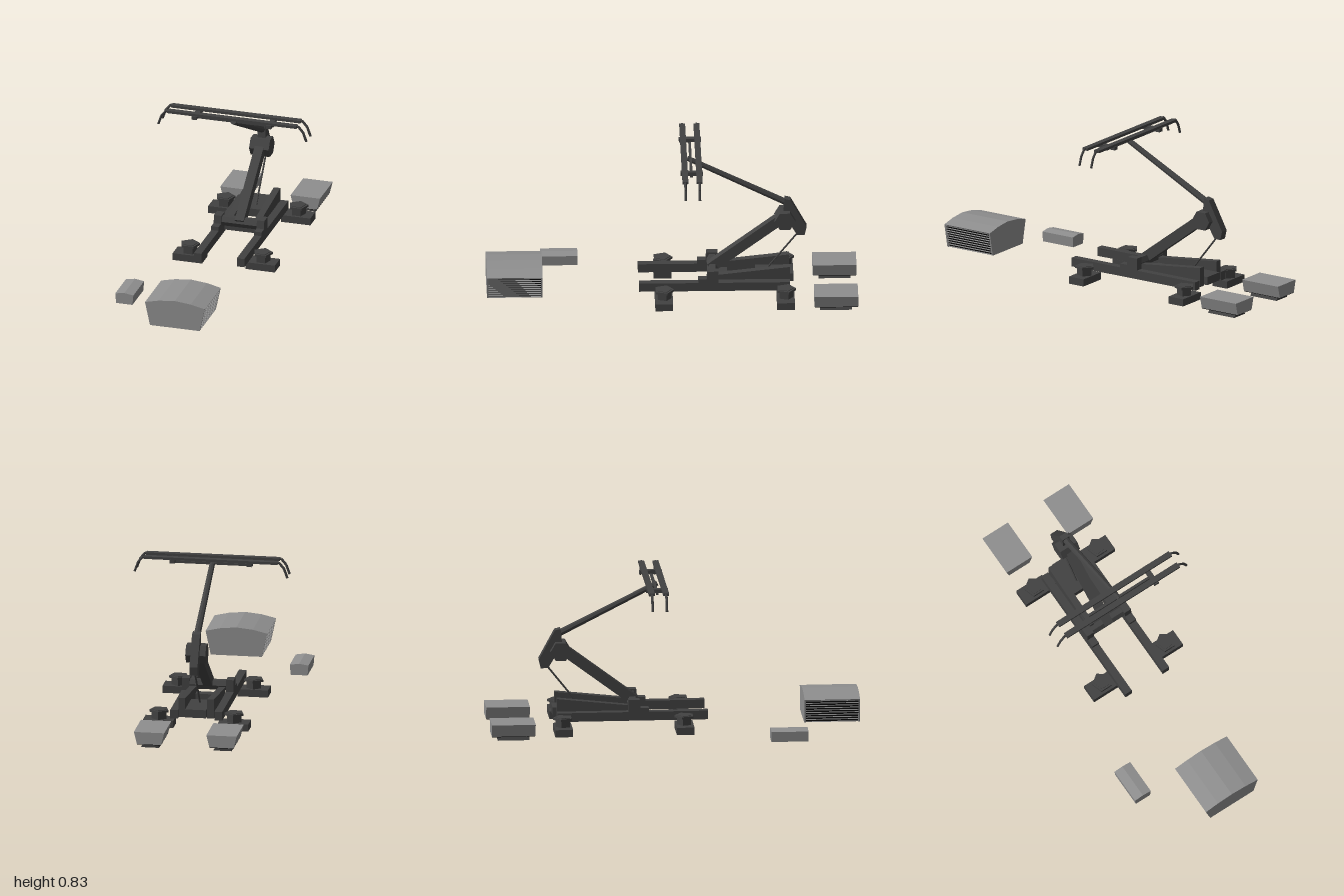
import * as THREE from 'three';

const mat = (name, color, side = THREE.FrontSide) => {
  const m = new THREE.MeshStandardMaterial({ color, side, flatShading: true });
  m.name = name;
  return m;
};

export function createModel() {
  const root = new THREE.Group();
  const dark = mat('dark grey metal', 0x424242);
  const light = mat('light grey housing', 0x8f8f8f);
  const black = mat('black vent', 0x0c0c0c, THREE.DoubleSide);

  const add = (name, geo, m, parent = root) => {
    const mesh = new THREE.Mesh(geo, m);
    mesh.name = name;
    parent.add(mesh);
    return mesh;
  };
  const group = (name, x = 0, y = 0, z = 0) => {
    const g = new THREE.Group();
    g.name = name;
    g.position.set(x, y, z);
    root.add(g);
    return g;
  };
  // box given by its lower and upper limits
  const box = (name, x0, x1, y0, y1, z0, z1, m = dark, parent = root) => {
    const b = add(name, new THREE.BoxGeometry(x1 - x0, y1 - y0, z1 - z0), m, parent);
    b.position.set((x0 + x1) / 2, (y0 + y1) / 2, (z0 + z1) / 2);
    return b;
  };
  const shapeOf = (pts) => new THREE.Shape(pts.map((p) => new THREE.Vector2(...p)));
  // front outline (x, y) extruded from z0 to z1
  const frontPrism = (pts, z0, z1) =>
    new THREE.ExtrudeGeometry(shapeOf(pts), { depth: z1 - z0, bevelEnabled: false }).translate(0, 0, z0);
  // side outline (z, y) extruded from x0 to x1
  const sidePrism = (pts, x0, x1) =>
    new THREE.ExtrudeGeometry(shapeOf(pts), { depth: x1 - x0, bevelEnabled: false })
      .rotateY(-Math.PI / 2).translate(x1, 0, 0);
  // straight bar between two points
  const rod = (name, a, b, r0, r1, sides, parent = root) => {
    const A = new THREE.Vector3(...a), B = new THREE.Vector3(...b);
    const d = B.clone().sub(A);
    const m = add(name, new THREE.CylinderGeometry(r1, r0, d.length(), sides), dark, parent);
    m.position.copy(A).add(B).multiplyScalar(0.5);
    m.quaternion.setFromUnitVectors(new THREE.Vector3(0, 1, 0), d.normalize());
    return m;
  };

  // Base frame: rails, rising inner beams and shaft brackets
  const frame = group('baseFrame');
  for (const s of [-1, 1]) {
    const span = (a, b) => (s > 0 ? [a, b] : [-b, -a]);
    box('rail', ...span(0.1, 0.142), 0.07, 0.118, -0.635, 0.18, dark, frame);
    add('innerBeam', sidePrism([[-0.635, 0.08], [-0.25, 0.08], [-0.25, 0.145], [-0.635, 0.187]],
      ...span(0.06, 0.097)), dark, frame);
    add('shaftBracket', sidePrism([[-0.25, 0.115], [-0.14, 0.115], [-0.14, 0.14], [-0.185, 0.14],
      [-0.19, 0.185], [-0.25, 0.185]], ...span(0.1, 0.142)), dark, frame);

    // Insulated feet
    for (const z of [0.047, -0.61]) {
      const foot = group('foot', s * 0.205, 0, z);
      box('footBase', -0.083, 0.083, 0.022, 0.062, -0.048, 0.048, dark, foot);
      const parts = [['insulator', 0.042, 0.06, 0.115], ['insulatorCollar', 0.055, 0.1, 0.112]];
      for (const [name, r, y0, y1] of parts) {
        const c = add(name, new THREE.CylinderGeometry(r, r, y1 - y0, 5), dark, foot);
        c.position.y = (y0 + y1) / 2;
        c.rotation.y = Math.PI;
      }
    }
  }
  box('rearTray', -0.057, 0.057, 0.085, 0.13, -0.655, -0.45, dark, frame);
  box('rearCrossMember', -0.1, 0.1, 0.08, 0.115, -0.6, -0.56, dark, frame);
  box('frontCrossMember', -0.1, 0.1, 0.08, 0.115, -0.3, -0.25, dark, frame);
  rod('pivotShaft', [-0.12, 0.15, -0.22], [0.12, 0.15, -0.22], 0.03, 0.03, 6, frame);

  // Folding arm
  const arm = group('foldingArm');
  const lower = box('lowerArm', -0.025, 0.025, -0.028, 0.028, -0.255, 0.255, dark, arm);
  lower.position.set(0, 0.302, -0.41);
  lower.rotation.x = Math.atan2(0.3, 0.4);
  rod('elbowPivot', [-0.055, 0.437, -0.61], [0.055, 0.437, -0.61], 0.056, 0.056, 6, arm);
  add('elbowPlate', sidePrism([[-0.6, 0.47], [-0.675, 0.343], [-0.716, 0.34], [-0.727, 0.389],
    [-0.64, 0.55], [-0.609, 0.558]].reverse(), -0.022, 0.022), dark, arm);
  rod('upperArm', [0, 0.52, -0.635], [0, 0.797, -0.085], 0.019, 0.015, 8, arm);
  rod('couplingRod', [0, 0.36, -0.69], [0, 0.12, -0.5], 0.005, 0.005, 6, arm);

  // Contact head: two strips with drooping horns
  const head = group('contactHead');
  box('headCrossbar', -0.222, 0.222, 0.788, 0.801, -0.108, -0.094, dark, head);
  for (const s of [-1, 1]) {
    box('stripSupport', s * 0.21 - 0.014, s * 0.21 + 0.014, 0.799, 0.819, -0.162, -0.043, dark, head);
  }
  for (const z of [-0.065, -0.142]) {
    box('contactStrip', -0.365, 0.365, 0.817, 0.831, z - 0.016, z + 0.016, dark, head);
    for (const s of [-1, 1]) {
      const pts = [[0.35, 0.825], [0.372, 0.825], [0.399, 0.793], [0.417, 0.742]];
      for (let i = 0; i < 3; i++) {
        rod('horn', [s * pts[i][0], pts[i][1], z], [s * pts[i + 1][0], pts[i + 1][1], z], 0.007, 0.007, 6, head);
      }
    }
  }

  // Large roof housing, open below, with louvred sides
  const housing = group('largeHousing');
  const top = [[0.168, 0.172], [0.09, 0.19], [0, 0.199], [-0.09, 0.19], [-0.168, 0.172]];
  const face = [[-0.14, 0.04], [0.14, 0.04], ...top];
  add('frontPanel', frontPrism(face, 0.992, 1), light, housing);
  add('backPanel', frontPrism(face, 0.7, 0.708), light, housing);
  const under = top.map(([x, y]) => [x * 0.98, y - 0.006]).reverse();
  add('roofPanel', frontPrism([...top, ...under], 0.708, 0.992), light, housing);
  const sideX = (y) => 0.14 + (0.028 * (y - 0.04)) / 0.132;
  for (const s of [-1, 1]) {
    const panel = [[0.126, 0.042], [0.129, 0.042], [0.157, 0.17], [0.154, 0.17]];
    const pts = panel.map(([x, y]) => [s * x, y]);
    add('ventPanel', frontPrism(s > 0 ? pts : pts.reverse(), 0.708, 0.992), black, housing);
    for (let i = 0; i < 10; i++) {
      const y = 0.043 + i * 0.0135;
      const x = s * (sideX(y) - 0.007);
      box('louvre', x - 0.007, x + 0.007, y - 0.001, y + 0.001, 0.708, 0.992, light, housing);
    }
  }

  // Small roof cover, open below
  const cover = group('smallCover', -0.376, 0, 0);
  const outer = [[0.046, 0.007], [0.051, 0.063], [0, 0.071], [-0.051, 0.063], [-0.046, 0.007]];
  const inner = outer.map(([x, y]) => [x * 0.88, y > 0.01 ? y - 0.006 : y]).reverse();
  add('coverShell', frontPrism([...outer, ...inner], 0.506, 0.694), light, cover);
  add('coverEnd', frontPrism(outer, 0.5, 0.506), light, cover);
  add('coverEnd', frontPrism(outer, 0.694, 0.7), light, cover);

  // Rear vent boxes with flared skirts
  for (const s of [-1, 1]) {
    const vent = group('rearVent', s * 0.198, 0, 0);
    add('ventBody', frontPrism([[-0.066, 0.028], [0.066, 0.028], [0.083, 0.095], [-0.083, 0.095]], -1, -0.764),
      light, vent);
    box('ventUnderside', -0.065, 0.065, 0.025, 0.028, -0.998, -0.766, black, vent);
    for (const k of [-1, 1]) {
      const wall = [[0.044, 0.002], [0.05, 0.002], [0.037, 0.026], [0.031, 0.026]].map(([x, y]) => [k * x, y]);
      add('ventSkirt', frontPrism(k > 0 ? wall : wall.reverse(), -0.967, -0.795), dark, vent);
    }
    const end = [[-0.05, 0.002], [0.05, 0.002], [0.037, 0.026], [-0.037, 0.026]];
    add('ventSkirtEnd', frontPrism(end, -0.801, -0.795), dark, vent);
    add('ventSkirtEnd', frontPrism(end, -0.967, -0.961), dark, vent);
  }

  // Rest the lowest edge on the ground
  root.children.filter((g) => g.name === 'rearVent').forEach((g) => { g.position.y = -0.002; });
  return root;
}
